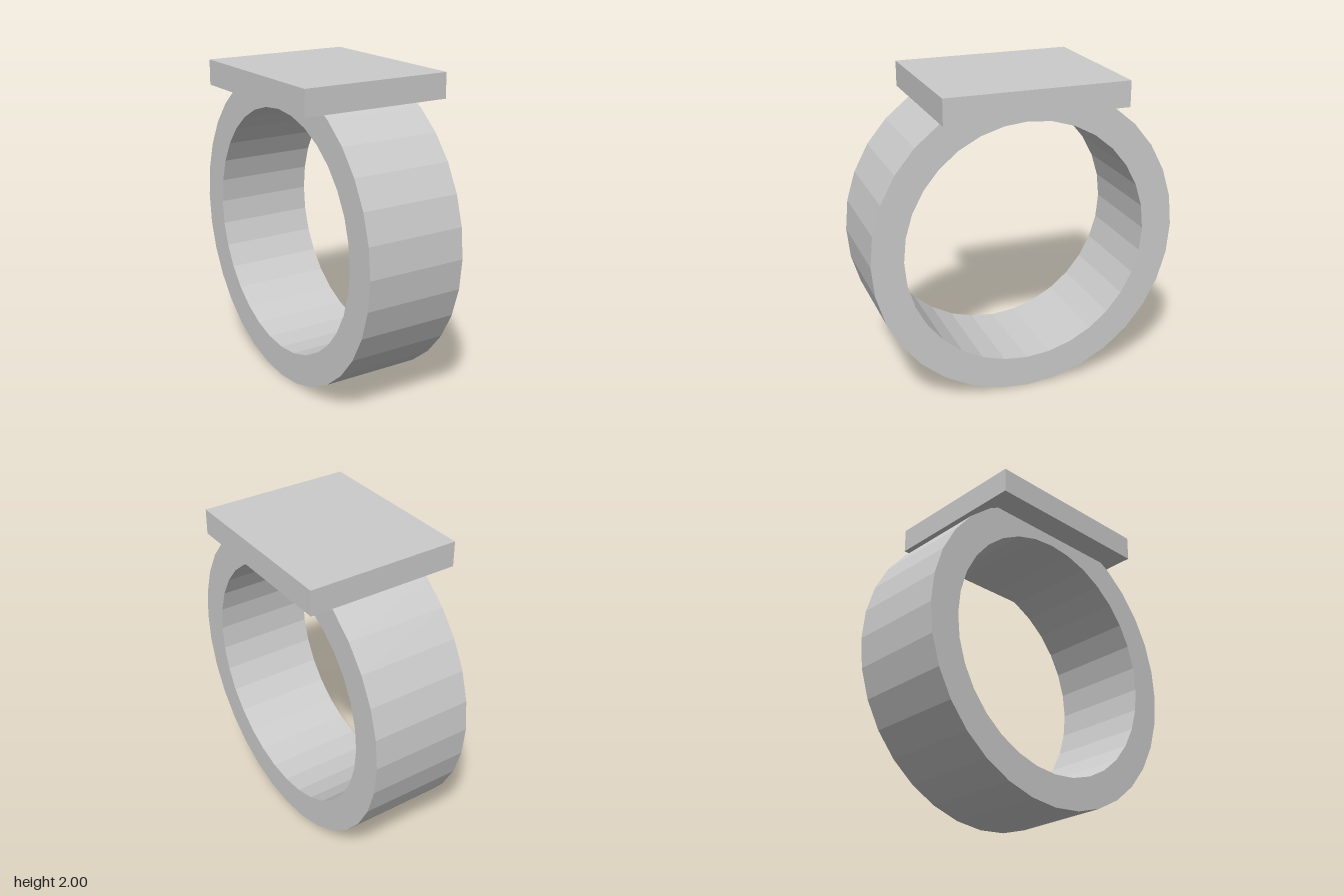
import * as THREE from 'three';

const BAND = { outer: 0.985, inner: 0.783, halfWidth: 0.325, sides: 32 };
const PLATE = { width: 0.98, height: 0.16, depth: 1.15, top: 2 };

export function createModel() {
  const model = new THREE.Group();
  model.name = 'signetRing';
  const material = new THREE.MeshStandardMaterial({ color: 0xcccccc, flatShading: true });

  // Faceted finger band: a rectangular section turned around the x axis
  const { outer, inner, halfWidth: w, sides } = BAND;
  const section = [[outer, -w], [outer, w], [inner, w], [inner, -w], [outer, -w]]
    .map(([r, y]) => new THREE.Vector2(r, y));
  const band = new THREE.Mesh(new THREE.LatheGeometry(section, sides), material);
  band.name = 'band';
  band.rotation.z = Math.PI / 2;
  band.position.y = outer;
  model.add(band);

  // Flat rectangular plate sunk onto the top of the band
  const plate = new THREE.Mesh(
    new THREE.BoxGeometry(PLATE.width, PLATE.height, PLATE.depth), material);
  plate.name = 'topPlate';
  plate.position.y = PLATE.top - PLATE.height / 2;
  model.add(plate);

  return model;
}
